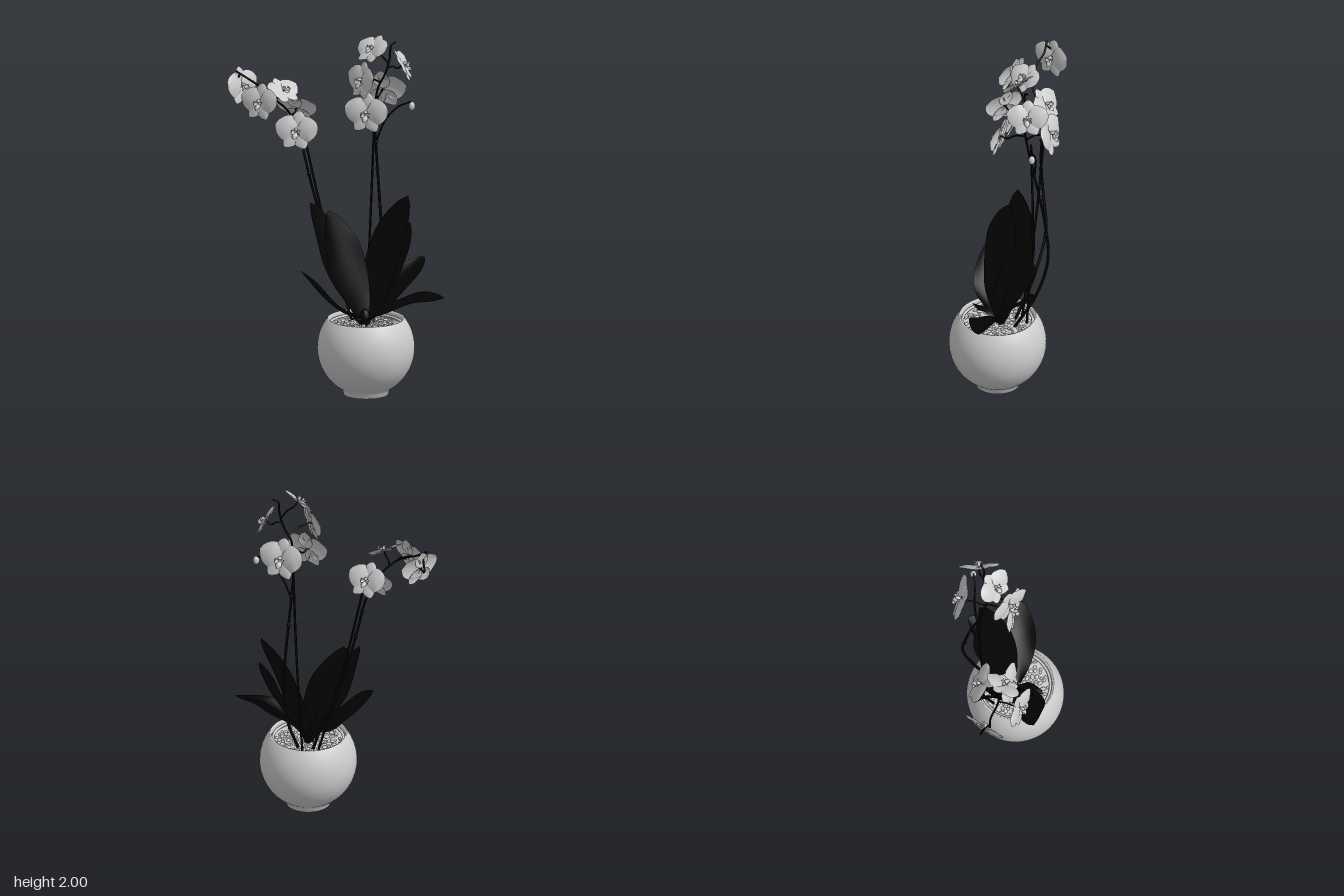
import * as THREE from 'three';

const V = (a) => new THREE.Vector3(...a);
const pale = new THREE.MeshStandardMaterial({ color: 0xcccccc, side: THREE.DoubleSide });
const dark = new THREE.MeshStandardMaterial({ color: 0x030303, side: THREE.DoubleSide });

let seed = 7;
const rand = () => (seed = (seed * 16807) % 2147483647) / 2147483647;

function add(parent, name, geometry, material, pos = [0, 0, 0]) {
  const mesh = new THREE.Mesh(geometry, material);
  mesh.name = name;
  mesh.position.set(...pos);
  parent.add(mesh);
  return mesh;
}

// Thin blade swept along a curve: half-width from profile(t), edges lifted by fold.
function blade(points, across, width, profile, fold, wave = 0) {
  const curve = new THREE.CatmullRomCurve3(points.map(V));
  const rows = 22, cols = 8, pos = [], idx = [];
  for (let i = 0; i <= rows; i++) {
    const t = i / rows, p = curve.getPoint(t), tan = curve.getTangent(t);
    const side = V(across).addScaledVector(tan, -V(across).dot(tan)).normalize();
    const up = new THREE.Vector3().crossVectors(side, tan).normalize();
    const half = (width / 2) * profile(t);
    for (let j = 0; j <= cols; j++) {
      const s = (j / cols) * 2 - 1;
      const lift = fold * half * s * s + wave * Math.sin(t * 11 + s) * s * s;
      const q = p.clone().addScaledVector(side, s * half).addScaledVector(up, lift);
      pos.push(q.x, q.y, q.z);
      if (i < rows && j < cols) {
        const a = i * (cols + 1) + j, b = a + cols + 1;
        idx.push(a, a + 1, b, b, a + 1, b + 1);
      }
    }
  }
  const g = new THREE.BufferGeometry();
  g.setAttribute('position', new THREE.Float32BufferAttribute(pos, 3));
  g.setIndex(idx);
  g.computeVertexNormals();
  return g;
}

const leafShape = (t) => (0.22 + 0.78 * Math.sin(Math.PI * t * 0.82)) * Math.pow(Math.max(0, 1 - t ** 6), 0.6);
const roundPetal = (t) => Math.pow(Math.sin(Math.PI * Math.pow(t, 0.78) * 0.999 + 0.001), 0.5);
const sepalShape = (t) => Math.pow(Math.sin(Math.PI * Math.pow(t, 0.9) * 0.999 + 0.001), 0.6);

// Flat petal in the flower plane, pointing at the given angle and bent along z.
function petal(angle, len, width, shape, z, bend) {
  const c = Math.cos(angle), s = Math.sin(angle);
  const pts = [0.04, 0.5, 1].map((t) => [c * len * t, s * len * t, z + bend * Math.sin(t * 2.4)]);
  return blade(pts, [s, -c, 0], width, shape, -0.2, 0.002);
}

const flowerParts = [
  ['dorsalSepal', petal(Math.PI / 2, 0.108, 0.086, sepalShape, -0.005, 0.01)],
  ['lowerSepal', petal(-1.0, 0.11, 0.084, sepalShape, -0.005, 0.008)],
  ['lowerSepal', petal(Math.PI + 1.0, 0.11, 0.084, sepalShape, -0.005, 0.008)],
  ['sidePetal', petal(0.2, 0.124, 0.14, roundPetal, 0.003, 0.014)],
  ['sidePetal', petal(Math.PI - 0.2, 0.124, 0.14, roundPetal, 0.003, 0.014)],
  ['lip', blade([[0, -0.01, 0.012], [0, -0.03, 0.028], [0, -0.052, 0.028]], [1, 0, 0], 0.034, sepalShape, 0.5)],
  ['lipLobe', blade([[0.008, -0.01, 0.01], [0.022, -0.012, 0.024], [0.018, 0.0, 0.036]], [0, 1, 0], 0.025, sepalShape, 0.4)],
  ['lipLobe', blade([[-0.008, -0.01, 0.01], [-0.022, -0.012, 0.024], [-0.018, 0.0, 0.036]], [0, 1, 0], 0.025, sepalShape, 0.4)],
  ['column', new THREE.SphereGeometry(0.01, 12, 8).scale(0.9, 0.9, 1.6).translate(0, 0.004, 0.016)],
];

// Round stem along a curve, thinning towards its end by the taper fraction.
function tube(parent, name, pts, r, taper = 0) {
  const curve = new THREE.CatmullRomCurve3(pts.map(V)), rings = 10 * pts.length;
  const g = new THREE.TubeGeometry(curve, rings, r, 8), p = g.attributes.position, v = new THREE.Vector3();
  for (let i = 0; i < p.count; i++) {
    const t = Math.floor(i / 9) / rings;
    v.fromBufferAttribute(p, i).lerp(curve.getPointAt(t), taper * t);
    p.setXYZ(i, v.x, v.y, v.z);
  }
  add(parent, name, g, dark);
}

// Flower at pos facing dir, on a short stalk that leaves the stem at "from".
function flower(parent, pos, dir, from, size = 1) {
  const n = V(dir).normalize(), g = new THREE.Group();
  g.name = 'flower';
  g.position.set(...pos);
  g.lookAt(V(pos).add(n));
  g.scale.setScalar(size);
  flowerParts.forEach(([name, geo]) => add(g, name, geo, pale));
  parent.add(g);
  const back = V(pos).addScaledVector(n, -0.04);
  const mid = V(from).lerp(back, 0.55).add(V([0, 0.012, 0]));
  tube(parent, 'flowerStalk', [from, mid.toArray(), back.toArray(), pos], 0.005);
}

export function createModel() {
  const model = new THREE.Group();
  model.name = 'pottedOrchid';
  const pot = new THREE.Group();
  pot.name = 'pot';
  pot.position.set(0.155, 0, 0.08);
  model.add(pot);

  // Spherical bowl with a foot and a hollow rim
  const points = (list) => list.map((p) => new THREE.Vector2(...p));
  const wall = [];
  for (let i = 0; i <= 32; i++) {
    const a = -1.04 + (i / 32) * 1.69;
    wall.push([0.269 * Math.cos(a), 0.266 + 0.269 * Math.sin(a)]);
  }
  add(pot, 'bowl', new THREE.LatheGeometry(points([[0, 0.006], [0.112, 0.006], [0.116, 0], [0.123, 0], [0.128, 0.018],
    ...wall, [0.211, 0.432], [0.203, 0.428], [0.2, 0.415], [0.206, 0.36]]), 64), pale);
  for (let i = 0; i < 3; i++) {
    const a = (i * Math.PI * 2) / 3 + 0.5;
    add(pot, 'drainRing', new THREE.TorusGeometry(0.014, 0.003, 6, 16).rotateX(Math.PI / 2), pale,
      [Math.cos(a) * 0.06, 0.005, Math.sin(a) * 0.06]);
  }

  // Inner liner and bark chips
  add(pot, 'liner', new THREE.TorusGeometry(0.193, 0.008, 8, 48).rotateX(Math.PI / 2), pale, [0, 0.404, 0]);
  add(pot, 'soil', new THREE.CylinderGeometry(0.205, 0.205, 0.02, 40), pale, [0, 0.375, 0]);
  const chip = new THREE.IcosahedronGeometry(1, 1);
  for (let i = 0; i < 130; i++) {
    const r = 0.18 * Math.sqrt((i + 0.5) / 130), a = i * 2.39996 + rand() * 0.2;
    const m = add(pot, 'barkChip', chip, pale, [Math.cos(a) * r, 0.384 + rand() * 0.008, Math.sin(a) * r]);
    m.scale.set(0.007 + rand() * 0.011, 0.005 + rand() * 0.005, 0.006 + rand() * 0.007);
    m.rotation.y = rand() * 6.28;
  }

  // Leaves: centre line, width direction, width
  const leaves = [
    [[[0.14, 0.4, 0.05], [0.04, 0.58, -0.02], [-0.05, 0.82, -0.07], [-0.14, 1.06, -0.05]], [0.65, 0, -0.75], 0.23],
    [[[0.14, 0.4, 0.07], [0.09, 0.58, 0.06], [0.01, 0.82, 0.03], [-0.045, 1.025, 0.0]], [0.8, 0.05, -0.6], 0.26],
    [[[0.16, 0.4, 0.05], [0.22, 0.58, 0.03], [0.3, 0.82, -0.03], [0.4, 1.085, -0.06]], [0.65, 0, 0.75], 0.26],
    [[[0.17, 0.4, 0.05], [0.26, 0.58, 0.0], [0.355, 0.77, -0.06], [0.41, 0.935, -0.06]], [0.55, -0.1, 0.8], 0.19],
    [[[0.16, 0.41, 0.06], [0.24, 0.5, 0.03], [0.37, 0.62, -0.02], [0.495, 0.73, -0.1]], [0.4, -0.3, 0.85], 0.19],
    [[[0.16, 0.42, 0.09], [0.27, 0.48, 0.13], [0.41, 0.54, 0.17], [0.575, 0.57, 0.215]], [-0.3, -0.15, 0.9], 0.18],
    [[[0.14, 0.42, 0.09], [0.03, 0.47, 0.12], [-0.08, 0.56, 0.12], [-0.205, 0.71, 0.09]], [-0.1, -0.2, -0.95], 0.17],
    [[[0.15, 0.41, 0.09], [0.12, 0.445, 0.14], [0.09, 0.455, 0.17], [0.05, 0.45, 0.21]], [0.8, 0, 0.6], 0.05],
  ];
  leaves.forEach(([pts, across, w]) => add(model, 'leaf', blade(pts, across, w, leafShape, 0.22, 0.006), dark));
  add(model, 'leafCrown', new THREE.SphereGeometry(0.032, 16, 12).scale(1, 1.8, 1), dark, [0.15, 0.42, 0.065]);

  // Flower stems with supporting canes
  tube(model, 'leftStem', [[0.12, 0.38, -0.02], [0.05, 0.62, -0.13], [-0.04, 0.85, -0.2], [-0.1, 1.05, -0.19], [-0.15, 1.25, -0.18],
    [-0.19, 1.42, -0.19], [-0.25, 1.55, -0.17], [-0.33, 1.63, -0.14], [-0.4, 1.69, -0.17], [-0.47, 1.73, -0.22], [-0.535, 1.77, -0.24]], 0.009, 0.4);
  tube(model, 'leftCane', [[0.09, 0.38, -0.06], [-0.06, 0.95, -0.15], [-0.18, 1.5, -0.21]], 0.0065);
  tube(model, 'rightStem', [[0.2, 0.38, -0.01], [0.25, 0.62, -0.13], [0.265, 0.85, -0.19], [0.25, 1.1, -0.17], [0.23, 1.35, -0.12],
    [0.22, 1.55, -0.08], [0.235, 1.7, -0.06], [0.275, 1.78, -0.06], [0.3, 1.87, -0.06], [0.308, 1.94, -0.06], [0.335, 1.955, -0.07]], 0.009, 0.4);
  tube(model, 'rightCane', [[0.17, 0.38, -0.08], [0.2, 1.0, -0.11], [0.22, 1.56, -0.1]], 0.0065);
  tube(model, 'budStalk', [[0.23, 1.38, -0.12], [0.28, 1.5, -0.12], [0.35, 1.58, -0.1], [0.42, 1.61, -0.09]], 0.006, 0.2);
  add(model, 'bud', new THREE.SphereGeometry(0.02, 14, 10).scale(0.9, 1.25, 0.9), pale, [0.425, 1.585, -0.09]);
  [[-0.135, 1.19, -0.18], [-0.172, 1.35, -0.185], [0.24, 1.22, -0.148], [0.228, 1.38, -0.115], [0.258, 1.0, -0.18]].forEach((p) =>
    add(model, 'stemNode', new THREE.SphereGeometry(0.011, 10, 8).scale(1, 1.5, 1), dark, p));

  // Left spray
  flower(model, [-0.5, 1.68, -0.265], [0.65, 0.2, 0.7], [-0.51, 1.755, -0.235], 1);
  flower(model, [-0.42, 1.64, -0.04], [-0.62, 0.25, 0.72], [-0.36, 1.66, -0.15], 0.98);
  flower(model, [-0.285, 1.69, -0.1], [0.33, 0.75, 0.45], [-0.32, 1.62, -0.145], 0.86);
  flower(model, [-0.215, 1.47, -0.05], [-0.42, 0.36, 0.82], [-0.21, 1.47, -0.18], 1.04);
  flower(model, [-0.2, 1.56, -0.21], [0.38, 0.55, -0.7], [-0.23, 1.51, -0.175], 0.98);

  // Right spray
  flower(model, [0.2, 1.932, -0.025], [-0.5, 0.65, 0.4], [0.29, 1.84, -0.06], 0.88);
  flower(model, [0.135, 1.77, 0.04], [-0.82, 0.2, 0.45], [0.25, 1.73, -0.06], 1);
  flower(model, [0.16, 1.59, 0.065], [-0.45, 0.2, 0.86], [0.225, 1.62, -0.07], 1.06);
  flower(model, [0.275, 1.66, -0.2], [0.36, 0.35, -0.86], [0.225, 1.6, -0.075], 1.1);
  flower(model, [0.375, 1.825, -0.07], [0.85, 0.5, 0.15], [0.285, 1.81, -0.06], 0.95);
  return model;
}
